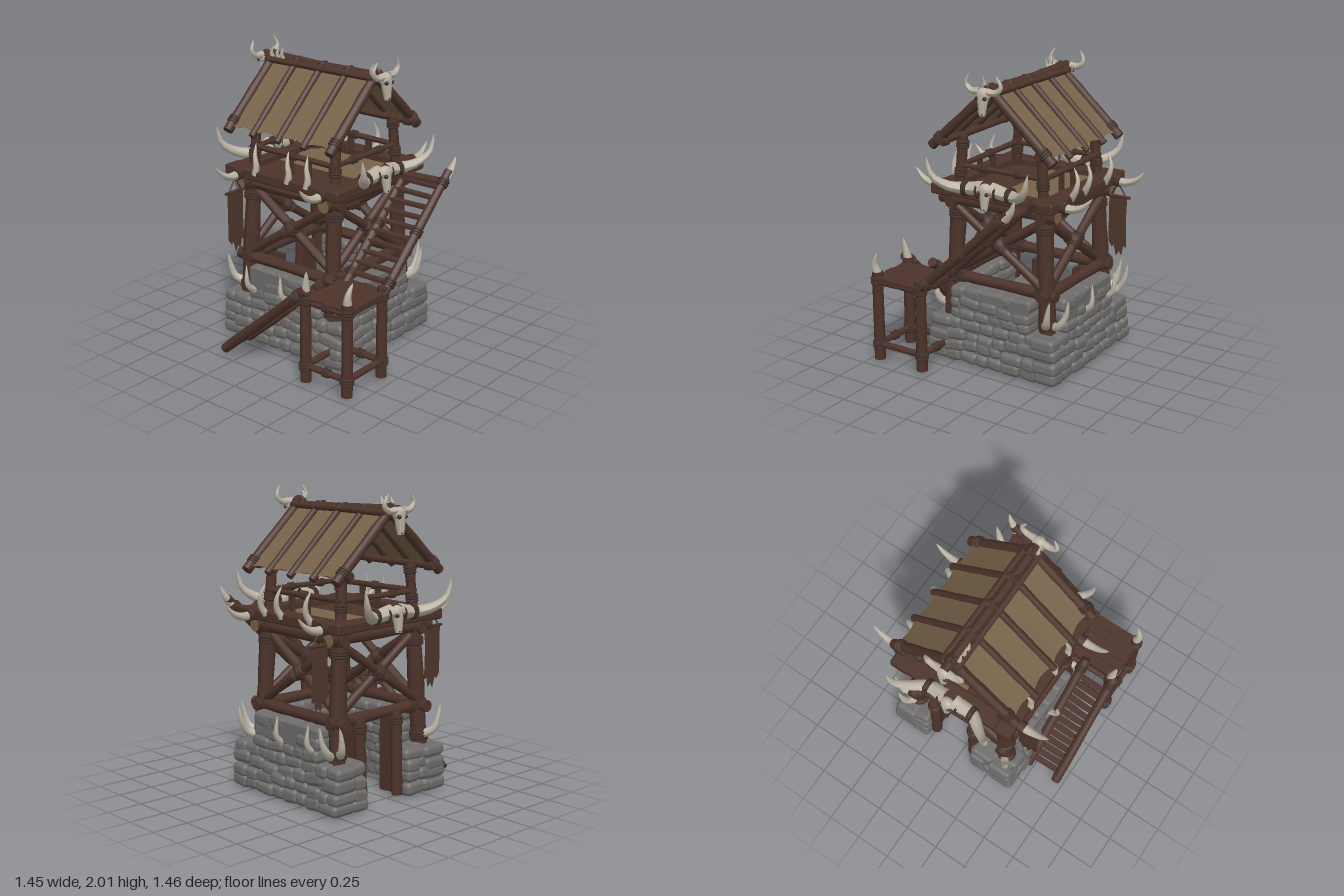
import * as THREE from 'three';
import { mergeGeometries } from 'three/addons/utils/BufferGeometryUtils.js';
import { RoundedBoxGeometry } from 'three/addons/geometries/RoundedBoxGeometry.js';

const V = (x, y, z) => new THREE.Vector3(x, y, z);

export function createModel() {
  const root = new THREE.Group();
  root.name = 'watchtower';
  const paint = (name, color, side = THREE.FrontSide) => {
    const m = new THREE.MeshStandardMaterial({ color, side });
    m.name = name;
    return m;
  };
  const wood = paint('wood', 0x4c332a), rope = paint('rope', 0x45322b), stone = paint('stone', 0x6d6c6a);
  const bone = paint('bone', 0xb9b1a2), socket = paint('socket', 0x3a302b), endGrain = paint('end grain', 0x7c6246);
  const hide = paint('hide', 0x78634a, THREE.DoubleSide), cloth = paint('banner cloth', 0x4e362b, THREE.DoubleSide);

  let seed = 7;
  const rnd = () => (seed = (seed * 16807) % 2147483647) / 2147483647;
  const add = (name, geo, mat, parent = root) => {
    const m = new THREE.Mesh(geo, mat);
    m.name = name;
    parent.add(m);
    return m;
  };
  const box = (name, w, h, d, x, y, z, mat = wood) => {
    const m = add(name, new RoundedBoxGeometry(w, h, d, 1, Math.min(w, h, d) * 0.2), mat);
    m.position.set(x, y, z);
    return m;
  };

  // Slightly knobbly log from a to b, with rope lashings at the given fractions
  function log(name, a, b, r, wraps = [], mat = wood) {
    const dir = b.clone().sub(a), len = dir.length();
    dir.normalize();
    const geo = new THREE.CylinderGeometry(r * 0.95, r, len, 10, 6), p = geo.attributes.position, k = rnd() * 6;
    for (let i = 0; i < p.count; i++) {
      const s = 1 + 0.06 * Math.sin(p.getY(i) * 31 + k);
      p.setXYZ(i, p.getX(i) * s, p.getY(i), p.getZ(i) * s);
    }
    geo.computeVertexNormals();
    const m = add(name, geo, mat);
    m.position.copy(a).lerp(b, 0.5);
    m.quaternion.setFromUnitVectors(V(0, 1, 0), dir);
    for (const t of wraps) for (let j = -1; j <= 1; j++) {
      const ring = add(name + 'Lashing', new THREE.TorusGeometry(r * 1.0, 0.01, 5, 12), rope);
      ring.position.copy(a).lerp(b, t).addScaledVector(dir, j * 0.018);
      ring.quaternion.setFromUnitVectors(V(0, 0, 1), dir);
    }
    return m;
  }

  // Tapered horn along a curve
  function horn(name, pts, r, parent = root) {
    const curve = new THREE.CatmullRomCurve3(pts), n = 10, sides = 8;
    const geo = new THREE.TubeGeometry(curve, n, r, sides, false), p = geo.attributes.position, v = V(0, 0, 0);
    for (let i = 0; i <= n; i++) {
      const c = curve.getPointAt(i / n), s = Math.max(0.03, Math.pow(1 - i / n, 0.6));
      for (let j = 0; j <= sides; j++) {
        const q = i * (sides + 1) + j;
        v.fromBufferAttribute(p, q).sub(c).multiplyScalar(s).add(c);
        p.setXYZ(q, v.x, v.y, v.z);
      }
    }
    geo.computeVertexNormals();
    return add(name, geo, bone, parent);
  }
  function hornBand(at, dir, r) {
    const ring = add('hornBinding', new THREE.CylinderGeometry(r, r, 0.05, 10), rope);
    ring.position.copy(at);
    ring.quaternion.setFromUnitVectors(V(0, 1, 0), dir.normalize());
  }

  // Stone walls: uneven courses of rounded stones around a plain core
  function stoneWall(name, alongX, from, to, mid, y0, y1, lean) {
    const parts = [], thick = 0.165, rows = Math.round((y1 - y0) / 0.076), h = (y1 - y0) / rows;
    const put = (g, u, y, w) => { alongX ? g.translate(u, y, w) : g.rotateY(Math.PI / 2).translate(w, y, u); parts.push(g); };
    for (let i = 0; i < rows; i++) {
      const inset = lean * (y0 + i * h) * 0.1, k = rnd() * 6;
      for (let u = from; u < to - 0.01;) {
        let w = 0.08 + rnd() * 0.085;
        if (to - u - w < 0.06) w = to - u;
        const wave = i > 0 && i < rows - 1 ? 0.016 * Math.sin(u * 9 + k) : 0;
        const g = new RoundedBoxGeometry(w + 0.01, h * (1.08 + rnd() * 0.22), thick + rnd() * 0.04, 2, 0.034);
        g.rotateZ((rnd() - 0.5) * 0.3);
        put(g, u + w / 2, y0 + (i + 0.5) * h + wave, mid + inset);
        u += w;
      }
    }
    const bottom = Math.max(0, y0 - 0.04);
    put(new RoundedBoxGeometry(to - from - 0.02, y1 - bottom - 0.004, thick - 0.03, 2, 0.008), (from + to) / 2, (bottom + y1) / 2, mid + lean * 0.02);
    add(name, mergeGeometries(parts), stone);
  }
  for (const [name, z, s] of [['frontWall', 0.37, -1], ['backWall', -0.475, 1]]) {
    stoneWall(name, true, -0.61, 0.42, z, 0, 0.3, s);
    stoneWall(name + 'Top', true, -0.4, 0.23, z, 0.3, 0.52, s);
  }
  stoneWall('stairSideWall', false, -0.41, 0.31, 0.335, 0, 0.3, -1);
  stoneWall('stairSideWallTop', false, -0.34, 0.28, 0.335, 0.3, 0.52, -1);
  stoneWall('doorWallBack', false, -0.41, -0.27, -0.525, 0, 0.3, 1);
  stoneWall('doorWallFront', false, 0.1, 0.31, -0.525, 0, 0.3, 1);

  // Doorway lined with posts and upright planks
  for (const z of [-0.25, 0.08]) {
    log('doorPost', V(-0.52, 0, z), V(-0.5, 0.56, z), 0.04, [0.9]);
    for (let i = 0; i < 2; i++) box('doorPlank', 0.062, 0.5 + i * 0.02, 0.03, -0.455 + i * 0.065, 0.26, z + (i - 0.5) * 0.012);
  }

  // Main posts, upper posts and base horns, one set per corner
  const cx = -0.1, cz = -0.04;
  for (const sx of [-1, 1]) for (const sz of [-1, 1]) {
    log('cornerPost', V(cx + sx * 0.37, 0.25, cz + sz * 0.38), V(cx + sx * 0.345, 1.12, cz + sz * 0.33), 0.056, [0.12, 0.37, 0.86]);
    log('upperPost', V(cx + sx * 0.35, 1.12, cz + sz * 0.33), V(cx + sx * 0.335, 1.53, cz + sz * 0.3), 0.035, [0.4, 0.86]);
    const X = cx + sx * 0.4, Z = cz + sz * 0.42;
    horn('postHornSide', [V(X, 0.36, Z - sz * 0.04), V(X + sx * 0.06, 0.4, Z), V(X + sx * 0.08, 0.48, Z + sz * 0.02), V(X + sx * 0.085, 0.57, Z + sz * 0.04)], 0.032);
    if (sz < 0) horn('postHornBack', [V(X - sx * 0.04, 0.35, Z), V(X, 0.38, Z - 0.06), V(X, 0.46, Z - 0.11), V(X, 0.57, Z - 0.13)], 0.032);
    // Deck corner horns
    const dx = cx + sx * 0.355, dz = cz + sz * 0.44;
    horn('deckCornerHorn', [V(dx, 1.18, dz), V(dx, 1.17, dz + sz * 0.1), V(dx, 1.2, dz + sz * 0.18), V(dx, 1.265, dz + sz * 0.245)], 0.036);
    hornBand(V(dx, 1.175, dz + sz * 0.04), V(0, -0.1, sz), 0.042);
  }

  // Ring beams, cross braces, deck rims and railings
  for (const s of [-1, 1]) {
    const z = cz + s * 0.37, x = cx + s * 0.36, zf = cz + s * 0.35;
    log('lowerBeamX', V(-0.55, 0.56, z), V(0.35, 0.56, z), 0.04, [0.12, 0.88]);
    log('lowerBeamZ', V(x, 0.56, -0.48), V(x, 0.56, 0.38), 0.04, [0.15, 0.85]);
    log('upperBeamX', V(-0.52, 1.09, zf), V(0.33, 1.09, zf), 0.044, [0.1, 0.9]);
    log('upperBeamZ', V(x, 1.1, -0.48), V(x, 1.1, 0.42), 0.046, [0.08, 0.92], [wood, endGrain, endGrain]);
    for (const d of [-1, 1]) {
      log('braceX', V(cx - d * 0.33, 0.61, zf + d * 0.015), V(cx + d * 0.33, 1.05, zf + d * 0.015), 0.033, [0.46, 0.54]);
      log('braceZ', V(x + d * 0.015, 0.61, cz - d * 0.33), V(x + d * 0.015, 1.05, cz + d * 0.33), 0.031, [0.46, 0.54]);
    }
    for (const [n, px, pz] of [['braceKnotX', cx, zf], ['braceKnotZ', x, cz]]) {
      const k = add(n, new THREE.SphereGeometry(0.055, 10, 8), rope);
      k.position.set(px, 0.83, pz);
    }
    box('deckRimX', 0.97, 0.075, 0.13, cx, 1.18, cz + s * 0.405);
    box('deckRimZ', 0.12, 0.065, 0.9, cx + s * 0.42, 1.18, cz);
    log('railingX', V(-0.46, 1.335, cz + s * 0.32), V(0.26, 1.325, cz + s * 0.32), 0.02, [0.03, 0.5, 0.97]);
    log('railingZ', V(cx + s * 0.345, 1.33, -0.37), V(cx + s * 0.345, 1.33, 0.29), 0.019, [0.3, 0.7]);
    for (const px of [-0.13, 0.02]) box('railSlat', 0.05, 0.14, 0.02, px, 1.26, cz + s * 0.32);
    // Upright spikes along the deck edges and the base walls
    for (const px of [-0.32, -0.04, 0.12]) {
      const Z = cz + s * 0.455, out = s > 0 ? 0 : -0.035;
      horn('deckSpike', [V(px, 1.19, Z), V(px + 0.01, 1.25, Z + out), V(px, 1.32, Z + out * 1.3), V(px - 0.01, 1.4, Z + out - s * 0.025)], 0.025);
    }
    for (const px of [-0.35, -0.05]) {
      const Z = cz + s * 0.48;
      horn('wallSpike', [V(px, 0.36, Z - s * 0.02), V(px, 0.42, Z + s * 0.04), V(px - 0.01, 0.56, Z + s * 0.04)], 0.025);
    }
  }
  // Deck floor: a hide mat at the back, planks at the front
  box('deckMat', 0.76, 0.025, 0.4, cx, 1.155, -0.19, hide);
  for (let i = 0; i < 5; i++) box('deckPlank', 0.76, 0.025, 0.066, cx, 1.155, 0.045 + i * 0.068);

  // Roof: hide sheets scalloped between rafters
  const eaveY = 1.48, ridgeY = 1.88, rz = -0.02, rafters = [-0.53, -0.315, -0.1, 0.115, 0.33];
  for (const s of [-1, 1]) {
    const geo = new THREE.PlaneGeometry(0.86, 1, 32, 6), p = geo.attributes.position;
    for (let i = 0; i < p.count; i++) {
      const x = p.getX(i), t = 0.5 - p.getY(i), wave = Math.abs(Math.sin((x + 0.43) / 0.215 * Math.PI));
      const f = t * (1.0 - 0.05 * wave);
      p.setXYZ(i, x + cx, ridgeY + (eaveY - ridgeY) * f - 0.008 * wave * t, rz + s * 0.45 * f);
    }
    geo.computeVertexNormals();
    add('roofHide', geo, hide);
    rafters.forEach((x, i) => {
      const end = i % 4 === 0;
      log('rafter', V(x, 1.46, rz + s * 0.465), V(x, end ? 1.905 : 1.89, rz - s * (end ? 0.03 : 0)), end ? 0.034 : 0.024, end ? [0.13, 0.9] : [0.95]);
    });
    log('eavePurlin', V(-0.57, 1.5, rz + s * 0.37), V(0.37, 1.5, rz + s * 0.37), 0.025, [0.05, 0.95]);
    log('ridgePurlin', V(-0.55, 1.868, rz + s * 0.05), V(0.35, 1.868, rz + s * 0.05), 0.022);
  }
  log('ridgeLog', V(-0.61, 1.885, rz), V(0.41, 1.86, rz), 0.032, [0.08, 0.92]);
  for (const x of [-0.5, -0.45, -0.41, 0.34])
    horn('ridgeSpike', [V(x, 1.86, rz + 0.02), V(x - 0.01, 1.91, rz + 0.045), V(x + 0.01, 1.965, rz + 0.045)], 0.019);

  // Horned skulls on the ridge ends and on the deck sides
  function skull(x, y, z, side, big) {
    const g = new THREE.Group();
    g.name = big ? 'deckSkull' : 'ridgeSkull';
    g.position.set(x, y, z);
    g.rotation.y = side * Math.PI / 2;
    const head = add('cranium', new THREE.SphereGeometry(0.05, 12, 10), bone, g);
    head.scale.set(1, 0.9, 0.75);
    const snout = add('snout', new THREE.CylinderGeometry(0.04, 0.022, 0.125, 8), bone, g);
    snout.position.set(0, -0.068, 0.012);
    snout.rotation.x = -0.1;
    for (const s of [-1, 1]) {
      const eye = add('eyeSocket', new THREE.SphereGeometry(0.014, 8, 6), socket, g);
      eye.position.set(s * 0.028, -0.018, 0.03);
      const nose = add('nostril', new THREE.SphereGeometry(0.006, 6, 5), socket, g);
      nose.position.set(s * 0.01, -0.12, 0.036);
      horn('skullHorn', big
        ? [V(s * 0.03, 0, -0.03), V(s * 0.17, -0.02, -0.03), V(s * 0.27, 0, 0.04), V(s * 0.355, 0.07, 0.1), V(s * 0.385, 0.19, 0.11)]
        : [V(s * 0.03, 0.02, 0), V(s * 0.09, 0.02, 0), V(s * 0.13, 0.06, 0), V(s * 0.1, 0.13, 0.01)], big ? 0.052 : 0.026, g);
      if (big) for (const u of [0.07, 0.16, 0.18]) {
        const band = add('hornBinding', new THREE.TorusGeometry(0.046, 0.01, 5, 12), rope, g);
        band.position.set(s * u, -0.016, -0.03);
        band.rotation.y = Math.PI / 2;
      }
    }
    root.add(g);
  }
  for (const s of [-1, 1]) {
    skull(cx + s * 0.51, 1.865, rz, s, false);
    skull(cx + s * 0.51, 1.245, -0.03, s, true);
  }

  // Ragged banners hung under the horns on the door side
  for (const [z, w] of [[0.485, 0.075], [-0.535, 0.068]]) {
    const shape = new THREE.Shape([[-w, 1.06], [-w, 0.74], [-w * 0.6, 0.7], [-w * 0.4, 0.72], [-w * 0.1, 0.64],
      [w * 0.2, 0.68], [w * 0.5, 0.65], [w * 0.7, 0.72], [w, 0.71], [w * 0.92, 0.9], [w, 1.06]].map(q => new THREE.Vector2(...q)));
    const b = add('banner', new THREE.ShapeGeometry(shape).rotateY(Math.PI / 2), cloth);
    b.position.set(-0.44, 0, z);
    log('bannerRod', V(-0.44, 1.07, z - 0.09), V(-0.44, 1.07, z + 0.09), 0.011);
    for (const s of [-1, 1]) log('bannerCord', V(-0.44, 1.07, z + s * 0.06), V(-0.44, 1.16, z), 0.005, [], rope);
  }

  // Stair landing
  for (let i = 0; i < 5; i++) box('landingPlank', 0.068, 0.025, 0.39 + rnd() * 0.03, 0.375 + i * 0.07, 0.585, 0.49);
  for (const x of [0.325, 0.66]) for (const z of [0.32, 0.675]) {
    log('landingPost', V(x, 0, z), V(x, 0.63, z), 0.038, [0.17, 0.9]);
    if (z > 0.5) horn('landingSpike', [V(x, 0.61, z), V(x + 0.012, 0.69, z + 0.01), V(x + 0.025, 0.77, x > 0.5 ? z - 0.02 : z + 0.02)], 0.032);
  }
  for (const y of [0.11, 0.56]) {
    for (const z of [0.32, 0.675]) log('landingRailX', V(0.3, y, z), V(0.69, y, z), 0.023, [0.5]);
    for (const x of [0.325, 0.66]) log('landingRailZ', V(x, y, 0.29), V(x, y, 0.71), 0.023);
  }

  // Lower flight rises along x, upper flight rises towards the back
  for (const z of [0.46, 0.695]) log('lowerStringer', V(-0.37, 0.02, z), V(0.34, 0.64, z), 0.034, [0.92]);
  for (let i = 0; i < 13; i++) box('lowerTread', 0.042, 0.02, 0.23, -0.31 + i * 0.046, 0.065 + i * 0.0395, 0.577).rotation.y = (rnd() - 0.5) * 0.1;
  for (const x of [0.37, 0.672]) log('upperStringer', V(x, 0.57, 0.33), V(x, 1.22, -0.38), 0.032, [0.1, 0.5, 0.9]);
  for (let i = 0; i < 10; i++) box('upperTread', 0.3, 0.026, 0.042, 0.52, 0.64 + i * 0.055, 0.27 - i * 0.06).rotation.y = (rnd() - 0.5) * 0.08;
  box('topTread', 0.28, 0.025, 0.08, 0.51, 1.16, -0.31).rotation.y = 0.1;
  horn('stairSpike', [V(0.672, 1.18, -0.35), V(0.68, 1.24, -0.4), V(0.69, 1.31, -0.43)], 0.033);
  return root;
}
